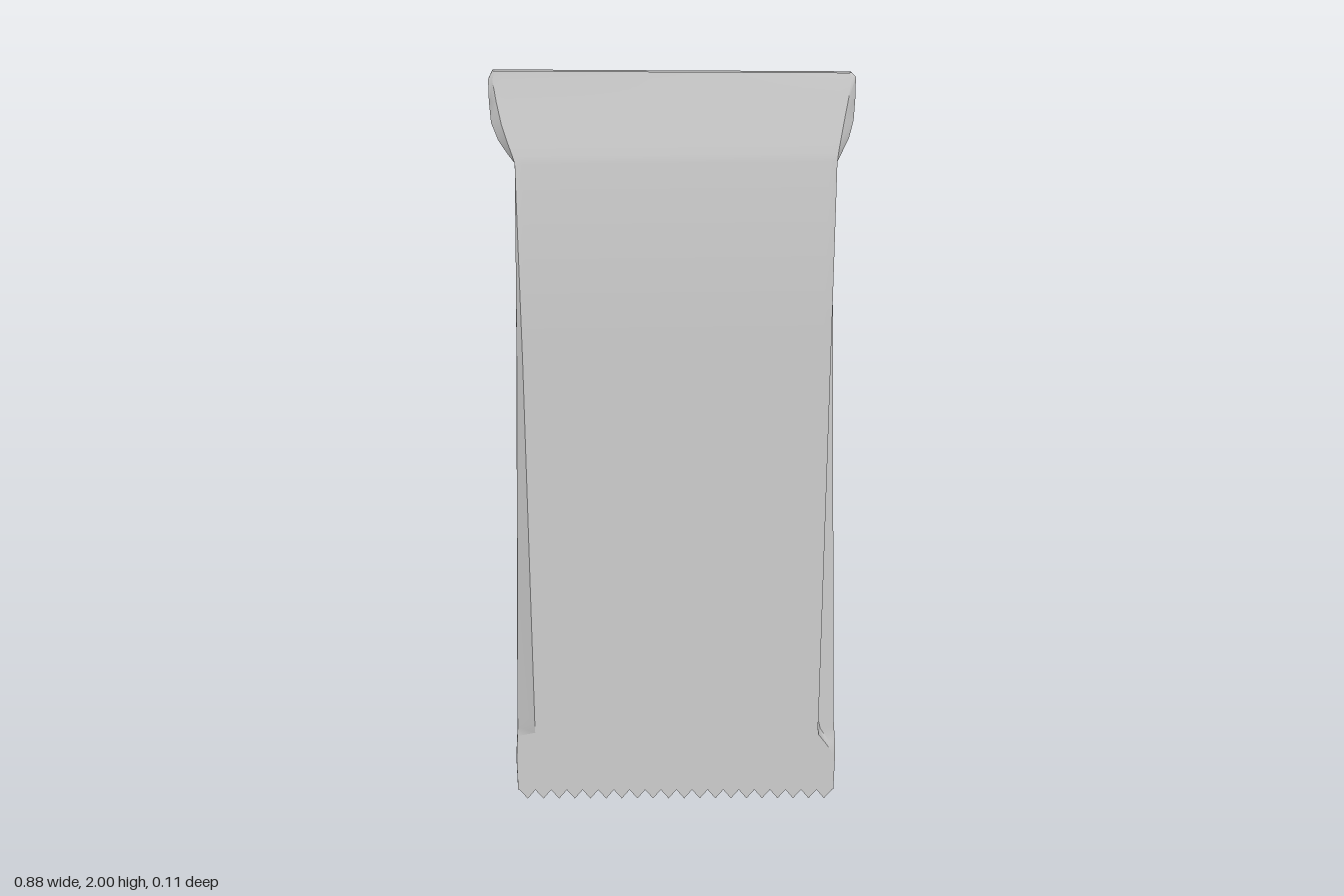
import * as THREE from 'three';
import { toCreasedNormals } from 'three/addons/utils/BufferGeometryUtils.js';

const TEETH = 20, COLS = TEETH * 2;
const SIDE = 3, RING = 2 * (COLS + 1 + SIDE);

// Cross-sections from bottom to top: height, half width and half depth of the sheets,
// then x and z of the three side points: front crease, fin tip or tuck, back crease
const LEVELS = [
  // crimped bottom seal
  [0.03, 0.430, 0.010, 0.434, 0.008, 0.435, 0.000, 0.434, -0.008],
  [0.14, 0.430, 0.010, 0.435, 0.008, 0.436, 0.000, 0.435, -0.008],
  [0.18, 0.408, 0.020, 0.418, 0.010, 0.434, 0.000, 0.433, -0.009],
  [0.22, 0.384, 0.037, 0.392, 0.004, 0.431, -0.008, 0.430, -0.013],
  [0.25, 0.380, 0.048, 0.385, -0.004, 0.429, -0.011, 0.428, -0.015],
  // body with a side fin that fades out upwards
  [0.29, 0.380, 0.053, 0.384, -0.006, 0.428, -0.012, 0.427, -0.016],
  [1.30, 0.379, 0.054, 0.380, -0.030, 0.395, -0.035, 0.394, -0.039],
  [1.79, 0.380, 0.053, 0.379, -0.042, 0.379, -0.046, 0.379, -0.049],
  // flared top with rounded edges and slightly tucked sides
  [1.81, 0.384, 0.049, 0.396, 0.030, 0.385, 0.000, 0.396, -0.030],
  [1.84, 0.392, 0.043, 0.414, 0.022, 0.399, 0.000, 0.414, -0.022],
  [1.88, 0.402, 0.034, 0.427, 0.014, 0.414, 0.000, 0.427, -0.014],
  [1.93, 0.412, 0.024, 0.430, 0.010, 0.425, 0.000, 0.430, -0.010],
  [1.98, 0.420, 0.013, 0.430, 0.007, 0.428, 0.000, 0.430, -0.007],
  [2.00, 0.414, 0.010, 0.420, 0.006, 0.420, 0.000, 0.420, -0.006],
];

// One closed loop, the same after half a turn about the vertical axis
function crossSection([y, w, d, fx, fz, tx, tz, bx, bz], level) {
  const first = level === 0, last = level === LEVELS.length - 1;
  const shift = -0.009 * THREE.MathUtils.smoothstep(y, 1.75, 1.9);
  const half = [];
  for (let i = 0; i <= COLS; i++) half.push([-w + (2 * w * i) / COLS, d, i % 2]);
  half.push([fx, fz, 0], [tx, tz, 0], [bx, bz, 0]);
  const loop = [...half, ...half.map(([x, z, t]) => [-x, -z, t])];
  return loop.flatMap(([x, z, tooth]) => {
    let h = y;
    if (first) h += 0.008 - 0.028 * tooth - 0.010 * x / 0.43; // sawtooth cut
    if (last) h -= 0.010 * (x / 0.84 + 0.5);                  // slightly tilted top edge
    return [x + shift, h, z];
  });
}

function wrapperGeometry() {
  const pos = LEVELS.flatMap(crossSection);
  const index = [];

  // Walls, open at the top
  for (let j = 0; j < LEVELS.length - 1; j++) {
    for (let i = 0; i < RING; i++) {
      const a = j * RING + i, b = j * RING + (i + 1) % RING;
      index.push(a, b, b + RING, a, b + RING, a + RING);
    }
  }

  // Toothed bottom strip and its side corners
  const back = (i) => RING / 2 + COLS - i;
  for (let i = 0; i < COLS; i++) {
    index.push(i, back(i + 1), i + 1, i, back(i), back(i + 1));
  }
  for (const start of [COLS, RING / 2 + COLS]) {
    for (let k = 1; k <= SIDE; k++) index.push(start, (start + k + 1) % RING, start + k);
  }

  const indexed = new THREE.BufferGeometry();
  indexed.setAttribute('position', new THREE.Float32BufferAttribute(pos, 3));
  indexed.setIndex(index);
  const geo = toCreasedNormals(indexed, 0.5);

  // Shade the pressed bottom of both sheets as one flat face with the body
  const p = geo.attributes.position, n = geo.attributes.normal;
  for (let i = 0; i < p.count; i++) {
    if (p.getY(i) < 0.3 && Math.abs(n.getZ(i)) > 0.86) n.setXYZ(i, 0, 0, Math.sign(n.getZ(i)));
  }
  return geo;
}

export function createModel() {
  const group = new THREE.Group();
  group.name = 'wrappedBar';
  const material = new THREE.MeshStandardMaterial({ color: 0xcccccc, side: THREE.DoubleSide });
  const wrapper = new THREE.Mesh(wrapperGeometry(), material);
  wrapper.name = 'wrapper';
  group.add(wrapper);
  return group;
}
